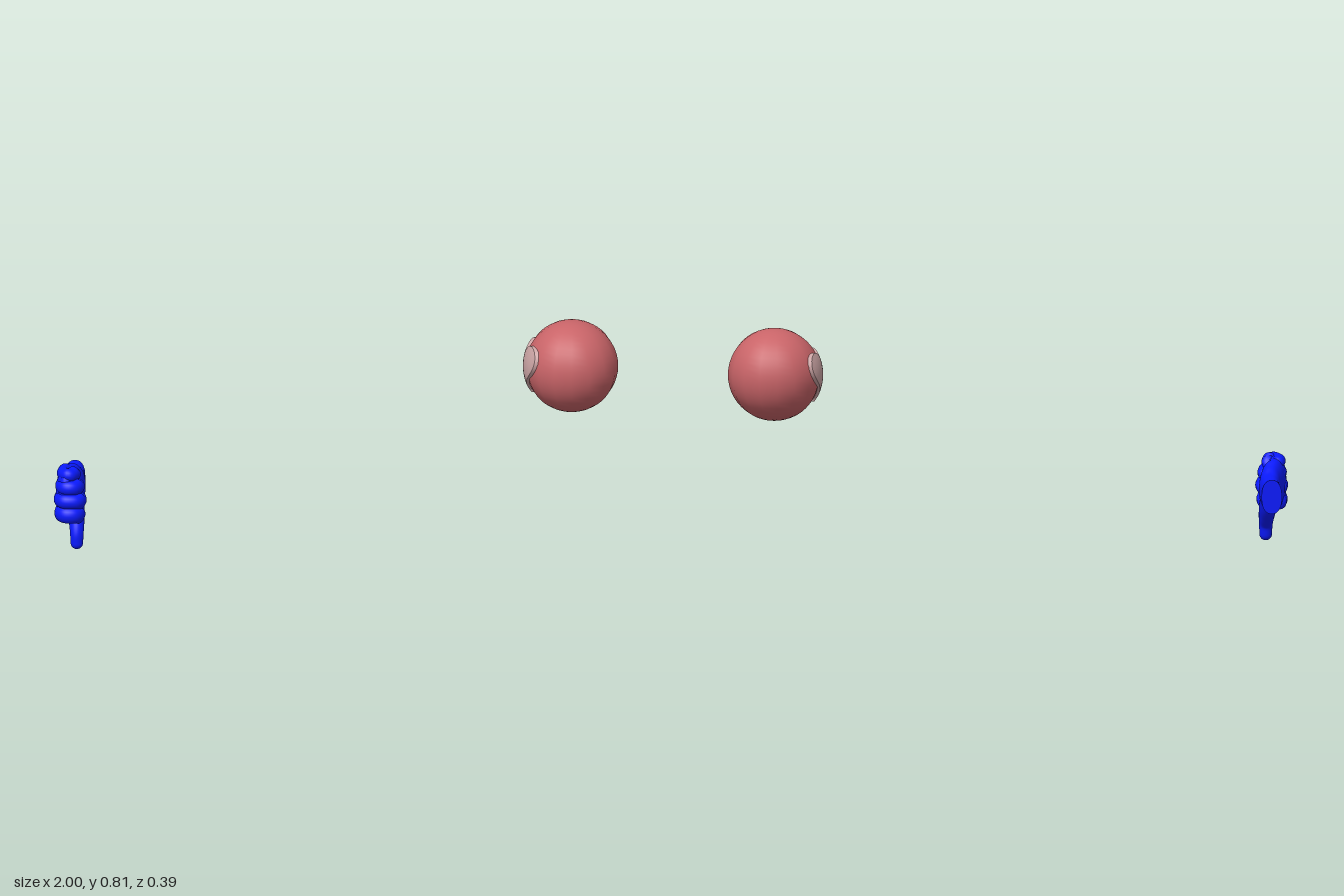
import * as THREE from 'three';

const V = (x, y, z) => new THREE.Vector3(x, y, z);

// Smooth surface from closed rings of points; flip reverses the winding
function skin(rings, flip) {
  const n = rings[0].length, pos = [], idx = [];
  rings.forEach(r => r.forEach(p => pos.push(p.x, p.y, p.z)));
  for (let i = 0; i < rings.length - 1; i++) {
    for (let j = 0; j < n; j++) {
      const a = i * n + j, b = i * n + (j + 1) % n, c = a + n, d = b + n;
      if (flip) idx.push(a, b, c, b, d, c);
      else idx.push(a, c, b, b, c, d);
    }
  }
  const g = new THREE.BufferGeometry();
  g.setAttribute('position', new THREE.Float32BufferAttribute(pos, 3));
  g.setIndex(idx);
  g.computeVertexNormals();
  return g;
}

// Elliptical sweep. Stations: [x, y, z, radius along side axis, radius across it]
function sweep(stations, side, { roundStart = false, roundEnd = true, power = 1, steps = 24, sides = 24 } = {}) {
  const path = new THREE.CatmullRomCurve3(stations.map(s => V(s[0], s[1], s[2])));
  const radii = new THREE.CatmullRomCurve3(stations.map(s => V(s[3], s[4], 0)));
  const rings = [];
  const soft = v => Math.sign(v) * Math.abs(v) ** power;
  const add = (t, scale, shift) => {
    const T = path.getTangent(t), S = T.clone().cross(side).normalize();
    const r = radii.getPoint(t), c = path.getPoint(t).addScaledVector(T, shift * Math.min(r.x, r.y));
    const ring = [];
    for (let j = 0; j < sides; j++) {
      const a = j / sides * Math.PI * 2;
      ring.push(c.clone()
        .addScaledVector(S, r.y * scale * soft(Math.cos(a)))
        .addScaledVector(side, r.x * scale * soft(Math.sin(a))));
    }
    rings.push(ring);
  };
  const q = Math.PI / 12;
  if (roundStart) for (let k = 6; k > 0; k--) add(0, Math.cos(k * q), -Math.sin(k * q));
  else { add(0, 0, 0); add(0, 1, 0); }
  for (let i = 0; i <= steps; i++) add(i / steps, 1, 0);
  if (roundEnd) for (let k = 1; k <= 6; k++) add(1, Math.cos(k * q), Math.sin(k * q));
  else { add(1, 1, 0); add(1, 0, 0); }
  return skin(rings);
}

export function createModel() {
  const model = new THREE.Group();
  const blue = new THREE.MeshStandardMaterial({ color: 0x0a1aff });
  const red = new THREE.MeshStandardMaterial({ color: 0xc96468 });
  const pale = new THREE.MeshStandardMaterial({ color: 0xcca5a5 });
  const add = (parent, name, geo, mat) => {
    const m = new THREE.Mesh(geo, mat);
    m.name = name;
    parent.add(m);
    return m;
  };

  // Thumbs-down hand
  const hand = new THREE.Group();
  hand.name = 'hand';
  model.add(hand);

  // Wrist widening into the palm
  add(hand, 'palm', sweep([
    [-0.925, 0.200, -0.134, 0.036, 0.061],
    [-0.925, 0.201, -0.09, 0.036, 0.060],
    [-0.925, 0.202, -0.04, 0.037, 0.062],
    [-0.928, 0.204, 0.0, 0.039, 0.080],
    [-0.939, 0.206, 0.04, 0.041, 0.096],
    [-0.952, 0.210, 0.08, 0.039, 0.095],
    [-0.958, 0.212, 0.13, 0.034, 0.094],
    [-0.957, 0.212, 0.145, 0.026, 0.085],
  ], V(1, 0, 0), { power: 0.85, steps: 36, sides: 36 }), blue);

  // Thumb pointing down
  add(hand, 'thumb', sweep([
    [-0.928, 0.185, -0.01, 0.034, 0.042],
    [-0.924, 0.140, 0.030, 0.033, 0.042],
    [-0.920, 0.098, 0.065, 0.028, 0.034],
    [-0.919, 0.060, 0.090, 0.024, 0.025],
    [-0.919, 0.024, 0.095, 0.022, 0.021],
  ], V(1, 0, 0), { roundStart: true }), blue);

  // Curled fingers: [name, height, half height, front z, tip z, back x, palm x]
  [
    ['littleFinger', 0.287, 0.024, 0.163, 0.080, -0.990, -0.905],
    ['ringFinger', 0.245, 0.026, 0.182, 0.074, -0.995, -0.892],
    ['middleFinger', 0.198, 0.026, 0.194, 0.081, -1.000, -0.885],
    ['indexFinger', 0.147, 0.029, 0.192, 0.096, -0.998, -0.889],
  ].forEach(([name, y, h, front, tip, back, inner]) => {
    const r = 0.024, b = back + r, p = inner - r, f = front - r;
    add(hand, name, sweep([
      [b + 0.006, y, 0.07, h, r],
      [b, y, f - 0.03, h, r],
      [b + 0.012, y + 0.002, f - 0.005, h, r],
      [(b + p) / 2, y + 0.002, f, h, r],
      [p - 0.012, y + 0.001, f - 0.005, h, r],
      [p, y - 0.002, f - 0.03, h, r],
      [p, y - 0.005, tip + r, h * 0.95, r],
    ], V(0, 1, 0), { roundStart: true, steps: 30, sides: 20 }), blue);
  });

  // Ball
  const centre = V(0.835, 0.645, -0.027), radius = 0.165;
  const ball = add(model, 'ball', new THREE.SphereGeometry(radius, 16, 24), red);
  ball.position.copy(centre);

  // Heart patch wrapped over the ball's inner side
  const heartRing = (scale, sink) => {
    const ring = [];
    for (let j = 0; j < 48; j++) {
      const t = j / 48 * Math.PI * 2;
      const z = -0.003 + scale * 0.0067 * 16 * Math.sin(t) ** 3;
      const y = 0.009 + scale * 0.0064 *
        (13 * Math.cos(t) - 5 * Math.cos(2 * t) - 2 * Math.cos(3 * t) - Math.cos(4 * t));
      const x = -Math.sqrt((radius + 0.008) ** 2 - y * y - z * z) + sink;
      ring.push(V(x, y, z).add(centre));
    }
    return ring;
  };
  const rings = [];
  for (let i = 0; i <= 8; i++) rings.push(heartRing(i / 8, 0));
  rings.push(heartRing(1, 0), heartRing(1, 0.02));
  add(model, 'heart', skin(rings, true), pale);

  return model;
}
